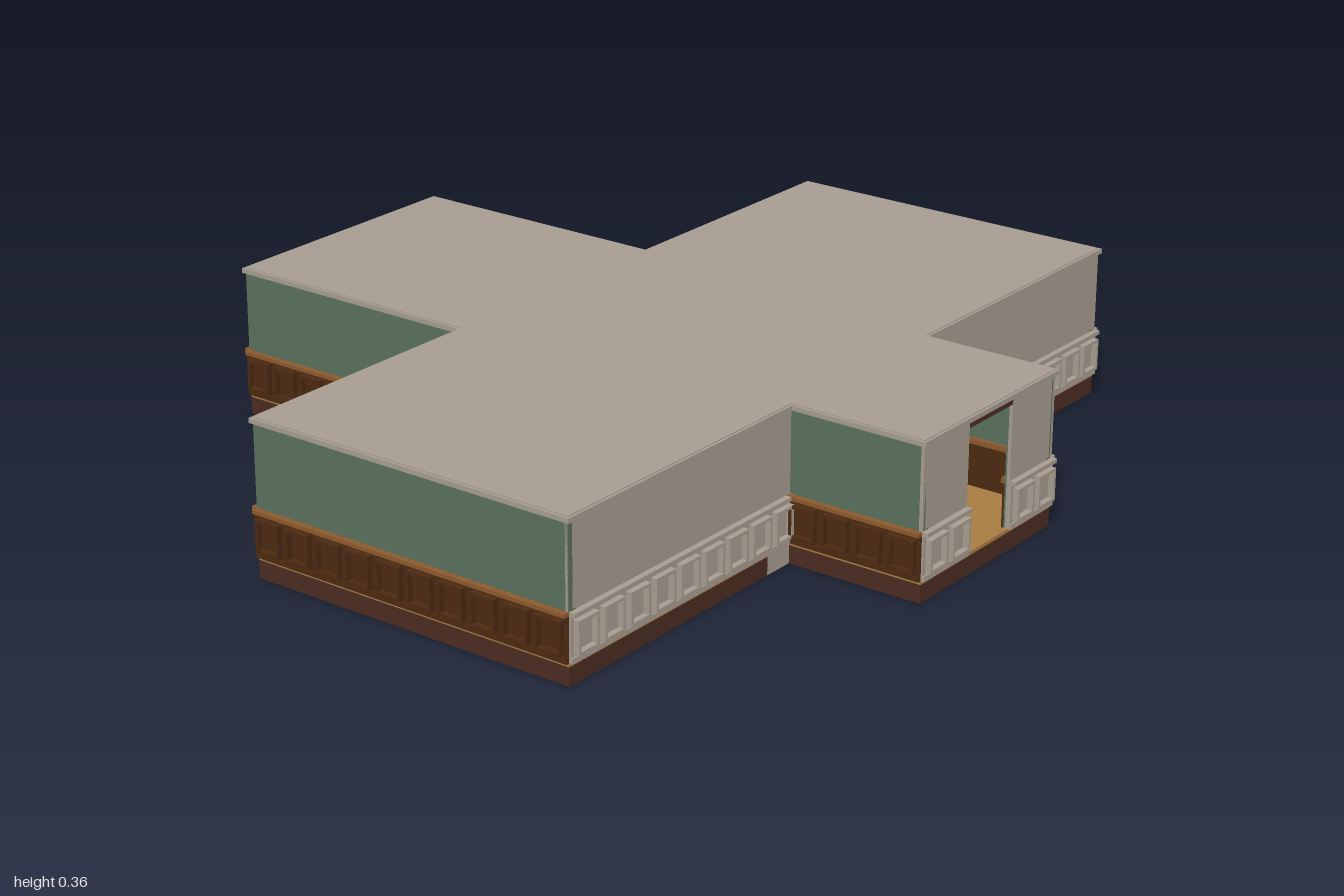
import * as THREE from 'three';

const mat = (name, color) => {
  const m = new THREE.MeshStandardMaterial({ color });
  m.name = name;
  return m;
};

export function createModel() {
  const plaster = mat('plasterGrey', 0xa69c90);
  const green = mat('greenPaint', 0x5a6f5b);
  const blue = mat('bluePaint', 0x4a6573);
  const panelWood = mat('darkPanelWood', 0x4c2a12);
  const railWood = mat('railWood', 0x8c5a2e);
  const baseWood = mat('baseBrown', 0x4a2b20);
  const floorWood = mat('floorGold', 0xa87c42);

  const model = new THREE.Group();
  model.name = 'crossShapedHall';

  const FLOOR = 0.05, CEIL = 0.345, TOP = 0.36, PANEL_TOP = 0.15;

  // Box given by its minimum and maximum corners
  function box(parent, name, material, x0, x1, y0, y1, z0, z1) {
    const mesh = new THREE.Mesh(new THREE.BoxGeometry(x1 - x0, y1 - y0, z1 - z0), material);
    mesh.position.set((x0 + x1) / 2, (y0 + y1) / 2, (z0 + z1) / 2);
    mesh.name = name;
    parent.add(mesh);
    return mesh;
  }

  // Raised rectangular moulding with an open middle
  function panelFrame(width, height, depth) {
    const rect = (target, w, h) => {
      target.moveTo(-w / 2, -h / 2);
      target.lineTo(w / 2, -h / 2);
      target.lineTo(w / 2, h / 2);
      target.lineTo(-w / 2, h / 2);
      target.closePath();
      return target;
    };
    const shape = rect(new THREE.Shape(), width, height);
    shape.holes.push(rect(new THREE.Path(), width - 0.014, height - 0.014));
    return new THREE.ExtrudeGeometry(shape, { depth, bevelEnabled: false });
  }

  // Panelling on one face: back plate, skirting, raised frames and chair rail
  function wainscot(parent, length, plate, rail) {
    const h = length / 2;
    box(parent, 'wainscotPlate', plate, -h, h, FLOOR, PANEL_TOP, 0, 0.004);
    box(parent, 'skirting', plate, -h, h, FLOOR, FLOOR + 0.012, 0, 0.008);
    box(parent, 'chairRail', rail, -h, h, PANEL_TOP, PANEL_TOP + 0.009, 0, 0.014);
    const count = Math.max(1, Math.round(length / 0.081));
    const pitch = length / count;
    const geo = panelFrame(pitch - 0.018, 0.075, 0.015);
    for (let i = 0; i < count; i++) {
      const frame = new THREE.Mesh(geo, plate);
      frame.name = 'panelFrame';
      frame.position.set(-h + pitch * (i + 0.5), 0.104, 0.003);
      parent.add(frame);
    }
  }

  // Wall centred at (x, z); local +z points outdoors
  const turns = { front: 0, left: Math.PI / 2, back: Math.PI, right: -Math.PI / 2 };
  function wall(name, side, x, z, length, paint) {
    const g = new THREE.Group();
    g.name = name;
    g.position.set(x, 0, z);
    g.rotation.y = turns[side];
    const h = length / 2;
    const grey = paint === plaster;
    box(g, 'wallCore', paint, -h, h, FLOOR, CEIL, -0.008, 0);
    wainscot(g, length, grey ? plaster : panelWood, grey ? plaster : railWood);
    // Indoor face
    box(g, 'indoorPaint', green, -h, h, FLOOR, CEIL, -0.012, -0.008);
    box(g, 'indoorPanelling', panelWood, -h, h, FLOOR, PANEL_TOP, -0.017, -0.012);
    box(g, 'indoorRail', railWood, -h, h, PANEL_TOP, PANEL_TOP + 0.012, -0.022, -0.012);
    model.add(g);
  }

  // Rooms: base slab, floor and flat roof
  const rooms = [
    ['rightWing', -0.98, -0.327, -0.25, 0.573, baseWood],
    ['leftWing', 0.327, 0.98, -0.25, 0.573, baseWood],
    ['centreHall', -0.327, 0.327, -0.25, 0.573, plaster],
    ['backWing', -0.327, 0.327, -0.9, -0.25, baseWood],
    ['entrance', -0.25, 0.25, 0.573, 0.9, baseWood],
  ];
  for (const [name, x0, x1, z0, z1, base] of rooms) {
    const g = new THREE.Group();
    g.name = name;
    box(g, 'baseSlab', base, x0, x1, 0, FLOOR - 0.008, z0, z1);
    box(g, 'floor', base === plaster ? plaster : floorWood, x0, x1, FLOOR - 0.008, FLOOR, z0, z1);
    box(g, 'roof', plaster, x0, x1, CEIL, TOP, z0, z1);
    model.add(g);
  }

  // Wing walls
  wall('leftWingSideWall', 'left', 0.98, 0.1615, 0.823, plaster);
  wall('rightWingSideWall', 'right', -0.98, 0.1615, 0.823, green);
  for (const s of [-1, 1]) {
    wall('wingFrontWall', 'front', s * 0.6535, 0.573, 0.653, plaster);
    wall('hallFrontWall', 'front', s * 0.2885, 0.573, 0.077, plaster);
    wall('wingBackWall', 'back', s * 0.6535, -0.25, 0.653, s > 0 ? blue : green);
    wall('entranceFrontWall', 'front', s * 0.1665, 0.9, 0.167, plaster);
  }

  // Back wing and entrance walls
  wall('backWingLeftWall', 'left', 0.327, -0.575, 0.65, plaster);
  wall('backWingRightWall', 'right', -0.327, -0.575, 0.65, green);
  wall('backWingEndWall', 'back', 0, -0.9, 0.654, green);
  wall('entranceLeftWall', 'left', 0.25, 0.7365, 0.327, plaster);
  wall('entranceRightWall', 'right', -0.25, 0.7365, 0.327, green);

  // Thin cornice along the outer roof edges
  for (const [x0, x1, z0, z1] of [
    [-0.986, 0.986, -0.256, 0.579], [-0.333, 0.333, -0.906, -0.256], [-0.256, 0.256, 0.579, 0.906],
  ]) box(model, 'cornice', plaster, x0, x1, CEIL + 0.002, TOP - 0.002, z0, z1);

  // Doorway header
  box(model, 'doorHeader', baseWood, -0.083, 0.083, 0.332, CEIL, 0.888, 0.9);

  // Inner partition with a door, facing the entrance
  const inner = new THREE.Group();
  inner.name = 'innerPartition';
  box(inner, 'partition', blue, -0.327, 0.327, FLOOR, CEIL, -0.256, -0.25);
  box(inner, 'innerDoor', plaster, -0.07, 0.07, FLOOR, 0.265, -0.25, -0.235);
  box(inner, 'innerDoorCap', plaster, -0.08, 0.08, 0.265, 0.28, -0.25, -0.225);
  for (const s of [-1, 1]) {
    box(inner, 'innerDoorPost', plaster, s * 0.0725 - 0.0075, s * 0.0725 + 0.0075, FLOOR, 0.265, -0.25, -0.228);
    box(inner, 'partitionPanelling', panelWood, s * 0.2035 - 0.1235, s * 0.2035 + 0.1235, FLOOR, PANEL_TOP, -0.25, -0.244);
  }
  model.add(inner);

  // Hanging lamp in the hall
  const lamp = new THREE.Group();
  lamp.name = 'ceilingLamp';
  const shade = new THREE.Mesh(new THREE.CylinderGeometry(0.045, 0.03, 0.012, 12), panelWood);
  shade.name = 'lampShade';
  shade.position.set(0, 0.318, 0.16);
  const stem = new THREE.Mesh(new THREE.CylinderGeometry(0.006, 0.006, 0.024, 8), railWood);
  stem.name = 'lampStem';
  stem.position.set(0, 0.334, 0.16);
  lamp.add(shade, stem);
  model.add(lamp);

  // Low cabinet beside the entrance
  box(model, 'cabinet', panelWood, -0.11, -0.065, FLOOR, 0.125, 0.62, 0.72);
  box(model, 'cabinetTop', railWood, -0.115, -0.06, 0.125, 0.133, 0.615, 0.725);

  return model;
}
